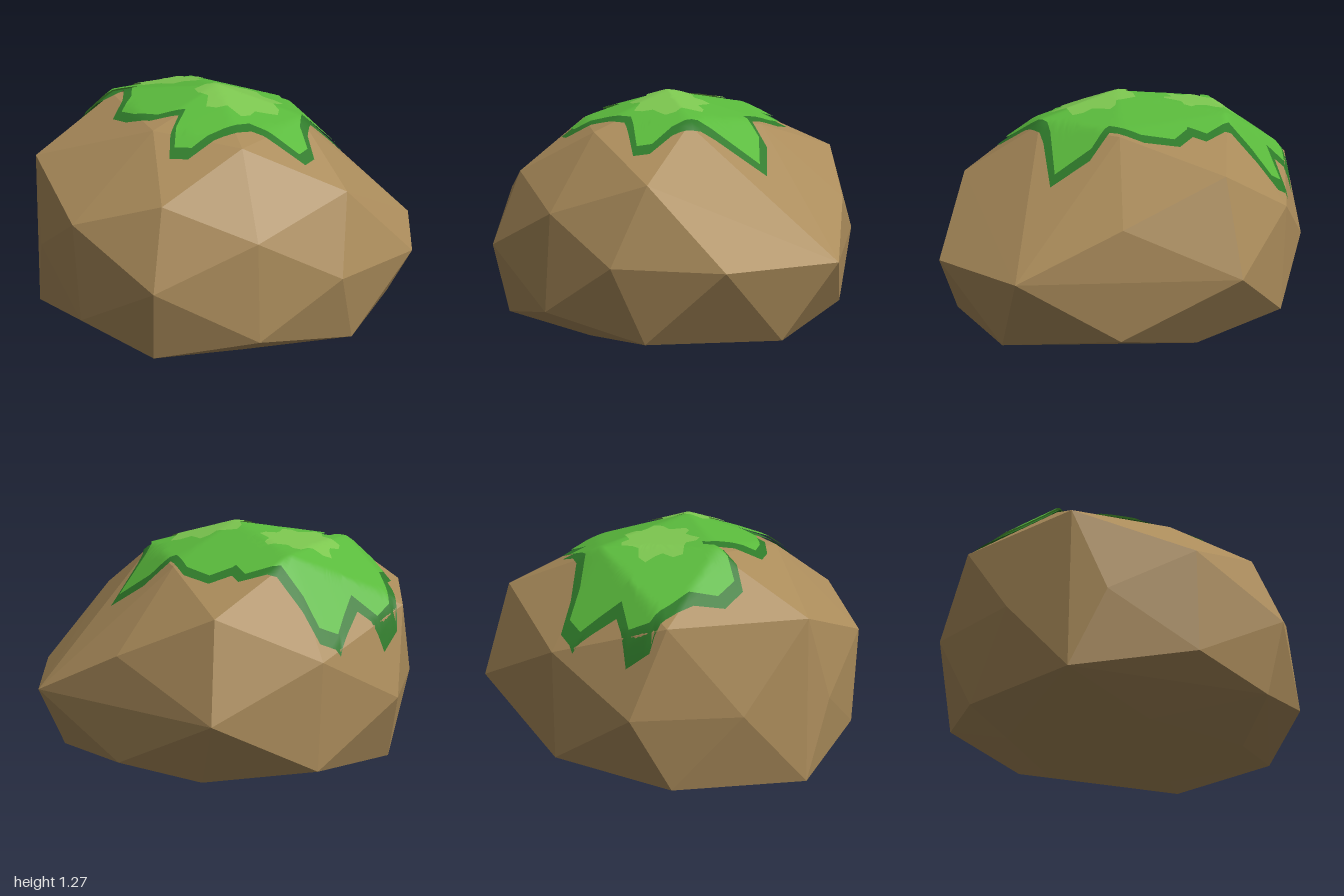
import * as THREE from 'three';
import { ConvexGeometry } from 'three/addons/geometries/ConvexGeometry.js';

const material = (color, extra = {}) => new THREE.MeshStandardMaterial({ color, ...extra });

// Faceted boulder: corners grouped from the base up to the crown
const CORNERS = [
  // underside
  [-.08, 0, .04], [-.08, .07, .6], [.38, .055, .2], [-.55, .045, .19], [.25, .06, -.42], [-.35, .06, -.52],
  // lower belt
  [-.08, .24, .89], [.43, .14, .73], [.82, .13, .21], [.73, .21, -.38], [.4, .14, -.62],
  [-.08, .21, -.88], [-.62, .13, -.64], [-1, .13, -.12], [-.85, .24, .44], [-.55, .14, .73],
  // middle belt
  [1, .5, .02], [.79, .5, .58], [.33, .5, .85], [-.56, .5, .82], [-.99, .5, .05],
  [-.87, .5, -.43], [-.54, .5, -.83], [.46, .5, -.87],
  // upper belt
  [-.08, .71, .85], [.4, .87, .68], [.73, .74, -.39], [.39, .96, -.75], [-.09, .74, -.89],
  [-.64, .92, -.69], [-.98, .92, -.12], [-.87, .73, .44], [-.49, .87, .69],
  // crown
  [-.08, 1.24, .04], [-.08, 1.08, .56], [.3, 1.12, .29], [.36, 1.1, -.19], [-.08, 1.16, -.57],
  [-.56, 1.18, -.27], [-.45, 1.12, .29],
];

// Outer moss outlines as [x, z] loops around a centre
const PATCHES = [
  {
    name: 'frontMoss', centre: [0, .06], spot: [.02, .13], spotRadius: .19, turn: .3,
    outline: [[.6, .06], [.4, .21], [.35, .26], [.29, .4], [.28, .54], [.22, .59], [.1, .5], [0, .43],
      [-.15, .46], [-.33, .52], [-.41, .48], [-.38, .36], [-.31, .22], [-.45, .2], [-.55, .1], [-.6, 0],
      [-.53, -.12], [-.5, -.25], [-.3, -.35], [0, -.45], [.18, -.5], [.3, -.48], [.36, -.32], [.35, -.13], [.48, -.09]],
  },
  {
    name: 'backMoss', centre: [-.28, -.4], spot: [-.25, -.345], spotRadius: .17, turn: 1.1,
    outline: [[0, -.2], [.12, -.38], [.19, -.45], [.19, -.57], [.02, -.63], [-.06, -.74], [-.1, -.84],
      [-.2, -.86], [-.27, -.8], [-.36, -.73], [-.48, -.79], [-.58, -.74], [-.62, -.64], [-.65, -.53],
      [-.74, -.42], [-.74, -.3], [-.65, -.24], [-.55, -.22], [-.5, -.24], [-.35, -.12], [-.15, -.12]],
  },
];

// Height of the convex rock: the lowest of its upward-facing planes
function heightSampler(geometry) {
  const p = geometry.attributes.position, planes = [];
  for (let i = 0; i < p.count; i += 3) {
    const [a, b, c] = [0, 1, 2].map(k => new THREE.Vector3().fromBufferAttribute(p, i + k));
    const plane = new THREE.Plane().setFromCoplanarPoints(a, b, c);
    if (plane.normal.y > 0.02) planes.push(plane);
  }
  return (x, z) => Math.max(0.7, Math.min(...planes.map(({ normal: n, constant: d }) => -(d + n.x * x + n.z * z) / n.y)));
}

// Split each side of an outline into short steps
function subdivide(loop, steps) {
  return loop.flatMap(([x, z], i) => {
    const [x2, z2] = loop[(i + 1) % loop.length];
    return Array.from({ length: steps }, (_, k) => [x + (x2 - x) * k / steps, z + (z2 - z) * k / steps]);
  });
}

// Pull an outline towards its centre by a fixed width
const inset = (loop, [cx, cz], width) => loop.map(([x, z]) => {
  const s = 1 - width / Math.hypot(x - cx, z - cz);
  return [cx + (x - cx) * s, cz + (z - cz) * s];
});

// Thin sheet of concentric rings draped over the rock (outline runs from +x towards +z or back)
function drape(outline, [cx, cz], height, lift, rings = 20) {
  const loop = subdivide(outline, 4), n = loop.length, positions = [], index = [];
  for (let r = 0; r <= rings; r++) {
    for (const [px, pz] of loop) {
      const x = cx + (px - cx) * r / rings, z = cz + (pz - cz) * r / rings;
      positions.push(x, height(x, z) + lift, z);
    }
  }
  for (let r = 0; r < rings; r++) {
    for (let i = 0; i < n; i++) {
      const a = r * n + i, b = r * n + (i + 1) % n;
      if (r > 0) index.push(a, b, a + n);
      index.push(b, b + n, a + n);
    }
  }
  // Make the sheet face up whichever way its outline runs
  const area = loop.reduce((sum, [x, z], i) => {
    const [x2, z2] = loop[(i + 1) % n];
    return sum + x * z2 - x2 * z;
  }, 0);
  const g = new THREE.BufferGeometry();
  g.setAttribute('position', new THREE.Float32BufferAttribute(positions, 3));
  g.setIndex(area > 0 ? index.reverse() : index);
  g.computeVertexNormals();
  // The centre ring is a single point, so share one upward normal there
  for (let i = 0; i < n; i++) g.attributes.normal.setXYZ(i, 0, 1, 0);
  if (g.attributes.normal.getY(n * 2) < 0) {
    g.setIndex(index.reverse());
    g.computeVertexNormals();
  }
  return g;
}

// Small wavy star used for the pale tufts
function star([cx, cz], radius, turn, points = 7) {
  return Array.from({ length: points * 4 }, (_, i) => {
    const a = i / (points * 4) * Math.PI * 2;
    const r = radius * (1 + .17 * Math.cos(points * a + turn) + .06 * Math.sin(2 * a + turn));
    return [cx + r * Math.cos(a), cz + r * Math.sin(a)];
  });
}

export function createModel() {
  const model = new THREE.Group();
  const add = (name, geometry, mat, parent) => {
    const mesh = new THREE.Mesh(geometry, mat);
    mesh.name = name;
    parent.add(mesh);
  };

  // Rock
  const rock = new ConvexGeometry(CORNERS.map(c => new THREE.Vector3(...c)));
  add('rock', rock, material(0xab8c5b, { flatShading: true }), model);

  // Moss: dark rim, green cover and pale tuft on each patch
  const height = heightSampler(rock);
  const side = THREE.DoubleSide;
  const rim = material(0x2f7a2a, { side }), cover = material(0x5aba3c, { side }), tuft = material(0x7cc64f, { side });
  for (const { name, centre, outline, spot, spotRadius, turn } of PATCHES) {
    const patch = new THREE.Group();
    patch.name = name;
    add('mossRim', drape(outline, centre, height, .012), rim, patch);
    add('mossCover', drape(inset(outline, centre, .045), centre, height, .026), cover, patch);
    add('mossTuft', drape(star(spot, spotRadius, turn), spot, height, .034, 8), tuft, patch);
    model.add(patch);
  }
  return model;
}
